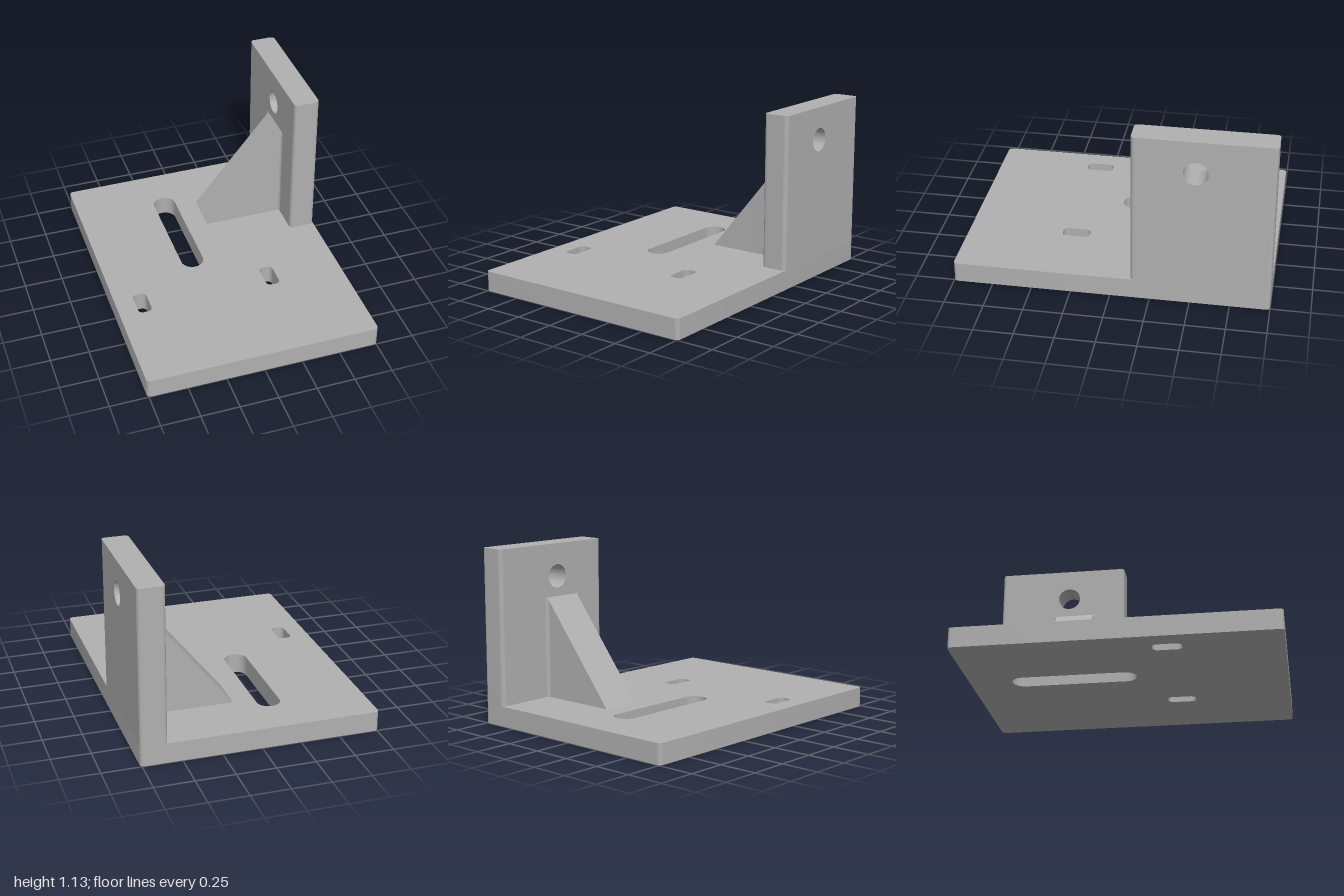
import * as THREE from 'three';
import { toCreasedNormals } from 'three/addons/utils/BufferGeometryUtils.js';

const BASE_TOP = 0.13, WALL_TOP = 1.13, R = 0.025;

// Rounded rectangle outline on a shape or path
function roundedRect(path, x0, x1, y0, y1, r) {
  path.moveTo(x0 + r, y0);
  path.lineTo(x1 - r, y0);
  path.absarc(x1 - r, y0 + r, r, -Math.PI / 2, 0);
  path.lineTo(x1, y1 - r);
  path.absarc(x1 - r, y1 - r, r, 0, Math.PI / 2);
  path.lineTo(x0 + r, y1);
  path.absarc(x0 + r, y1 - r, r, Math.PI / 2, Math.PI);
  path.lineTo(x0, y0 + r);
  path.absarc(x0 + r, y0 + r, r, Math.PI, Math.PI * 1.5);
  return path;
}

// Extrude a plan outline (x, z) between two heights
function extrudeUp(shape, bottom, top) {
  const g = new THREE.ExtrudeGeometry(shape, { depth: top - bottom, bevelEnabled: false, curveSegments: 16 });
  return g.rotateX(Math.PI / 2).translate(0, top, 0);
}

export function createModel() {
  const group = new THREE.Group();
  const grey = new THREE.MeshStandardMaterial({ color: 0xb0b0b0 });
  grey.name = 'grey';
  const add = (geometry, name) => {
    const mesh = new THREE.Mesh(toCreasedNormals(geometry, 0.5), grey);
    mesh.name = name;
    group.add(mesh);
  };

  // Base plate with one long slot and two short slots
  const base = roundedRect(new THREE.Shape(), -0.76, 0.76, -1, 1, R);
  const slots = [
    [-0.23, -0.08, -0.73, 0.06, 0.0745],
    [-0.635, -0.545, 0.21, 0.39, 0.032],
    [0.235, 0.325, 0.21, 0.39, 0.032],
  ];
  for (const s of slots) base.holes.push(roundedRect(new THREE.Path(), ...s));
  add(extrudeUp(base, 0, BASE_TOP), 'basePlate');

  // Upright wall with a round through hole
  const x0 = 0.59, x1 = 0.76, back = -1, front = -0.13;
  const wall = new THREE.Shape();
  wall.moveTo(-front + R, BASE_TOP);
  wall.lineTo(-back - R, BASE_TOP);
  wall.lineTo(-back - R, WALL_TOP);
  wall.lineTo(-front + R, WALL_TOP);
  wall.closePath();
  wall.holes.push(new THREE.Path().absarc(0.52, 0.917, 0.076, 0, Math.PI * 2));
  const wallGeometry = new THREE.ExtrudeGeometry(wall, { depth: x1 - x0, bevelEnabled: false, curveSegments: 32 });
  add(wallGeometry.rotateY(Math.PI / 2).translate(x0, 0, 0), 'wall');

  // Rounded vertical ends of the wall
  for (const [edge, dir, name] of [[front, 1, 'wallFrontEdge'], [back, -1, 'wallBackEdge']]) {
    const z = edge - dir * R;
    const end = new THREE.Shape();
    end.moveTo(x0, z);
    end.lineTo(x1, z);
    end.absarc(x1 - R, z, R, 0, dir * Math.PI / 2, dir < 0);
    end.lineTo(x0 + R, edge);
    end.absarc(x0 + R, z, R, dir * Math.PI / 2, dir * Math.PI, dir < 0);
    add(extrudeUp(end, BASE_TOP, WALL_TOP), name);
  }

  // Gusset: plan outline with small fillets at the wall, its top sloped down
  const toe = 0.06, z0 = -0.61, z1 = -0.35, f = 0.02, peak = 0.785;
  const plan = new THREE.Shape();
  plan.moveTo(toe, z0);
  plan.lineTo(x0 - f, z0);
  plan.absarc(x0 - f, z0 - f, f, Math.PI / 2, 0, true);
  plan.lineTo(x0, z1 + f);
  plan.absarc(x0 - f, z1 + f, f, 0, -Math.PI / 2, true);
  plan.lineTo(toe, z1);
  plan.closePath();
  const gusset = extrudeUp(plan, BASE_TOP, peak);
  const p = gusset.attributes.position;
  for (let i = 0; i < p.count; i++) {
    if (p.getY(i) > BASE_TOP + 0.1) {
      p.setY(i, BASE_TOP + (peak - BASE_TOP) * (p.getX(i) - toe) / (x0 - toe));
    }
  }
  add(gusset, 'gusset');

  return group;
}
